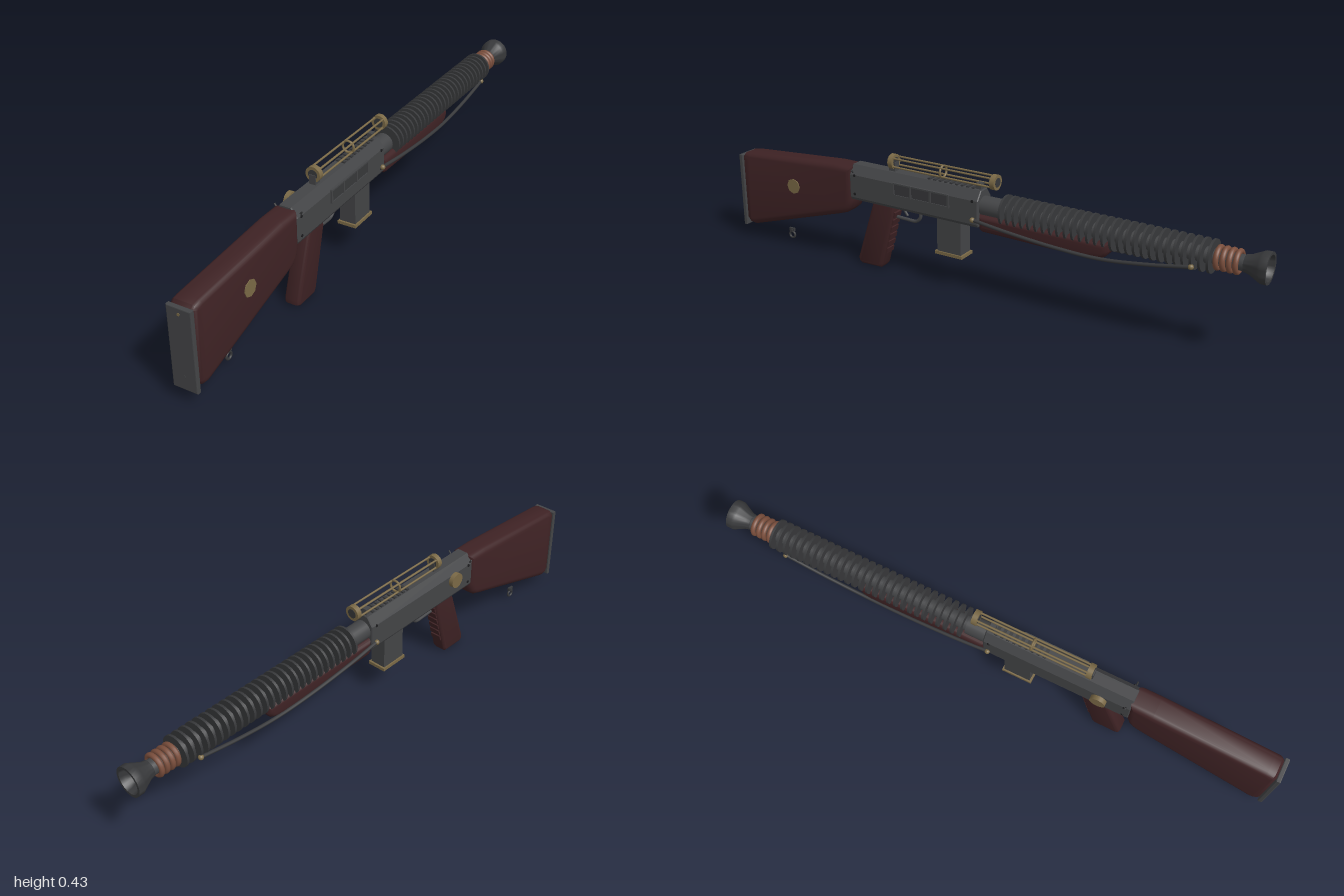
import * as THREE from 'three';
import { toCreasedNormals } from 'three/addons/utils/BufferGeometryUtils.js';

const mat = (name, color, side = THREE.FrontSide) => {
  const m = new THREE.MeshStandardMaterial({ color, side });
  m.name = name;
  return m;
};

export function createModel() {
  const steel = mat('steel grey', 0x434446);
  const dark = mat('dark steel', 0x37383a, THREE.DoubleSide);
  const black = mat('black', 0x1c1c1e);
  const wood = mat('dark red wood', 0x3e2224);
  const brass = mat('aged brass', 0x7a6946);
  const copper = mat('copper', 0x7a4e3c);
  const root = new THREE.Group();
  root.name = 'longGun';
  const AXIS = 0.312; // barrel height

  const add = (name, geo, m, x = 0, y = 0, z = 0, parent = root) => {
    const mesh = new THREE.Mesh(geo, m);
    mesh.name = name;
    mesh.position.set(x, y, z);
    parent.add(mesh);
    return mesh;
  };
  const box = (name, m, w, h, d, x, y, z) => add(name, new THREE.BoxGeometry(w, h, d), m, x, y, z);
  // cylinder lying along z
  const rodZ = (name, m, r, len, x, y, z, seg = 28) =>
    add(name, new THREE.CylinderGeometry(r, r, len, seg).rotateX(Math.PI / 2), m, x, y, z);
  // cylinder lying along x
  const rodX = (name, m, r, len, x, y, z, seg = 24) =>
    add(name, new THREE.CylinderGeometry(r, r, len, seg).rotateZ(Math.PI / 2), m, x, y, z);
  const shapeOf = (pts) => new THREE.Shape(pts.map(([a, b]) => new THREE.Vector2(a, b)));
  const extrude = (shape, depth, bevel, segs) => new THREE.ExtrudeGeometry(shape, {
    depth: depth - 2 * bevel, bevelEnabled: bevel > 0, bevelSize: bevel,
    bevelThickness: bevel, bevelOffset: -bevel, bevelSegments: segs, curveSegments: 8,
  }).translate(0, 0, bevel - depth / 2);
  // side profile given as [z, y], extruded across x with rounded edges
  const sidePart = (name, m, pts, width, bevel) => add(name,
    toCreasedNormals(extrude(shapeOf(pts), width, bevel, 5).rotateY(-Math.PI / 2), 0.6), m);

  // Shoulder stock and butt plate
  sidePart('stock', wood, [[0.985, 0.315], [0.975, 0.328], [0.95, 0.332], [0.56, 0.361], [0.48, 0.361],
    [0.48, 0.24], [0.492, 0.205], [0.515, 0.185], [0.55, 0.173], [0.945, 0.053], [0.97, 0.056], [0.985, 0.075]],
  0.09, 0.022);
  const plate = shapeOf([[-0.042, 0.045], [0.042, 0.045], [0.042, 0.32], [-0.042, 0.32]]);
  add('buttPlate', extrude(plate, 0.016, 0.003, 2), steel, 0, 0, 0.991);
  rodZ('buttScrewTop', brass, 0.005, 0.004, 0, 0.3, 0.998);
  rodZ('buttScrewBottom', steel, 0.006, 0.004, 0, 0.092, 0.998);
  rodX('stockMedallion', brass, 0.028, 0.008, 0.044, 0.245, 0.74, 8);

  // Sling swivel under the stock
  const swivel = add('slingSwivel', new THREE.TorusGeometry(0.012, 0.004, 8, 20), dark, 0, 0.03, 0.8);
  swivel.rotation.y = Math.PI / 2;
  rodX('swivelPin', dark, 0.005, 0.014, 0, 0.048, 0.8);
  box('swivelLug', dark, 0.008, 0.012, 0.022, 0, 0.05, 0.8);

  // Receiver with chamfered top
  const section = shapeOf([[-0.036, 0.245], [0.036, 0.245], [0.042, 0.255], [0.042, 0.337],
    [0.02, 0.369], [-0.02, 0.369], [-0.042, 0.337], [-0.042, 0.255]]);
  add('receiver', extrude(section, 0.522, 0.003, 1), steel, 0, 0, 0.225);
  for (let i = 0; i < 9; i++) box('topRib', dark, 0.034, 0.006, 0.01, 0, 0.371, 0.17 - i * 0.0215);
  for (const s of [-1, 1]) {
    for (const z of [0.465, -0.015]) for (const y of [0.335, 0.268]) rodX('receiverScrew', black, 0.005, 0.004, s * 0.042, y, z, 12);
    const stud = rodX('rearStud', dark, 0.003, 0.012, s * 0.046, 0.351, 0.47, 8);
    stud.rotation.z = s * 0.9;
  }

  // Framed ejection port on one side
  box('portPanel', dark, 0.004, 0.042, 0.216, 0.042, 0.318, 0.187);
  for (const y of [0.297, 0.339]) box('portRail', steel, 0.008, 0.005, 0.225, 0.043, y, 0.187);
  for (const z of [0.298, 0.228, 0.148, 0.077]) box('portBar', steel, 0.009, 0.044, 0.007, 0.043, 0.318, z);

  // Adjustment knob on the other side
  rodX('knob', brass, 0.027, 0.016, -0.054, 0.322, 0.38);
  rodX('knobHub', dark, 0.016, 0.02, -0.048, 0.322, 0.38);

  // Pistol grip with ribbed front
  sidePart('pistolGrip', wood, [[0.4, 0.25], [0.315, 0.25], [0.318, 0.21], [0.368, 0.015], [0.378, 0.002],
    [0.46, 0], [0.473, 0.008], [0.474, 0.025], [0.412, 0.215]], 0.055, 0.012);
  for (let i = 0; i < 6; i++) {
    const rib = box('gripRib', wood, 0.04, 0.02, 0.016, 0, 0.212 - i * 0.028, 0.321 + i * 0.0072);
    rib.rotation.x = -0.25;
  }

  // Trigger and guard
  const curve = (pts) => new THREE.CatmullRomCurve3(pts.map((p) => new THREE.Vector3(...p)));
  const tube = (name, m, pts, r, n = 40) => add(name, new THREE.TubeGeometry(curve(pts), n, r, 10), m);
  tube('triggerGuard', steel, [[0, 0.248, 0.218], [0, 0.215, 0.22], [0, 0.2, 0.236], [0, 0.199, 0.275], [0, 0.201, 0.325]], 0.006);
  tube('trigger', dark, [[0, 0.248, 0.29], [0, 0.23, 0.285], [0, 0.212, 0.272]], 0.005, 12);

  // Magazine
  box('magazine', steel, 0.058, 0.125, 0.094, 0, 0.186, 0.085);
  box('magazineBase', brass, 0.068, 0.011, 0.108, 0, 0.12, 0.085);

  // Open skeleton sight
  const SY = 0.401;
  for (const z of [0.325, -0.078]) {
    rodZ('sightCap', brass, 0.026, 0.018, 0, SY, z);
    rodZ('sightLens', dark, 0.016, 0.02, 0, SY, z);
  }
  for (let i = 0; i < 4; i++) {
    const a = Math.PI / 4 + i * Math.PI / 2;
    rodZ('sightRod', brass, 0.0035, 0.4, 0.021 * Math.cos(a), SY + 0.021 * Math.sin(a), 0.124, 10);
  }
  add('sightRing', new THREE.TorusGeometry(0.02, 0.004, 8, 28), brass, 0, SY, 0.124);
  box('rearSightPost', steel, 0.023, 0.035, 0.026, 0, 0.383, 0.325);
  box('frontSightPost', steel, 0.02, 0.026, 0.02, 0, 0.376, -0.02);

  // Barrel, cooling fins and copper coils
  rodZ('barrel', steel, 0.025, 0.92, 0, AXIS, -0.485);
  rodZ('barrelCollar', steel, 0.034, 0.075, 0, AXIS, -0.07);
  for (let i = 0; i < 28; i++) rodZ('coolingFin', dark, 0.053, 0.008, 0, AXIS, -0.122 - i * 0.0261, 32);
  for (let i = 0; i < 4; i++) {
    add('copperCoil', new THREE.TorusGeometry(0.032, 0.0085, 10, 32), copper, 0, AXIS, -0.845 - i * 0.02);
  }

  // Hollow flared muzzle
  const flare = [[0.02, 0.925], [0.027, 0.925], [0.03, 0.94], [0.046, 0.972], [0.05, 0.98], [0.05, 1],
    [0.041, 1], [0.038, 0.985], [0.02, 0.955]].map(([r, y]) => new THREE.Vector2(r, y));
  add('muzzle', toCreasedNormals(new THREE.LatheGeometry(flare, 32).rotateX(-Math.PI / 2), 0.6), dark, 0, AXIS, 0);
  rodZ('bore', black, 0.021, 0.012, 0, AXIS, -0.951);

  // Wooden handguard with end hook
  sidePart('handguard', wood, [[-0.036, 0.29], [-0.036, 0.242], [-0.05, 0.232], [-0.4, 0.226], [-0.46, 0.229],
    [-0.49, 0.242], [-0.503, 0.262], [-0.503, 0.29]], 0.086, 0.018);
  box('handguardHook', dark, 0.016, 0.014, 0.02, 0, 0.228, -0.46);

  // Side pipes with brass fittings
  for (const s of [-1, 1]) {
    tube('sidePipe', dark, [[s * 0.045, 0.272, -0.02], [s * 0.048, 0.258, -0.15], [s * 0.047, 0.243, -0.33],
      [s * 0.044, 0.239, -0.48], [s * 0.045, 0.256, -0.63], [s * 0.045, 0.281, -0.775]], 0.006, 48);
    for (const [y, z] of [[0.272, -0.018], [0.282, -0.777]]) {
      add('pipeFitting', new THREE.SphereGeometry(0.009, 14, 10), brass, s * 0.046, y, z);
    }
  }

  root.position.x = 0.003;
  const model = new THREE.Group();
  model.name = 'model';
  model.add(root);
  return model;
}
